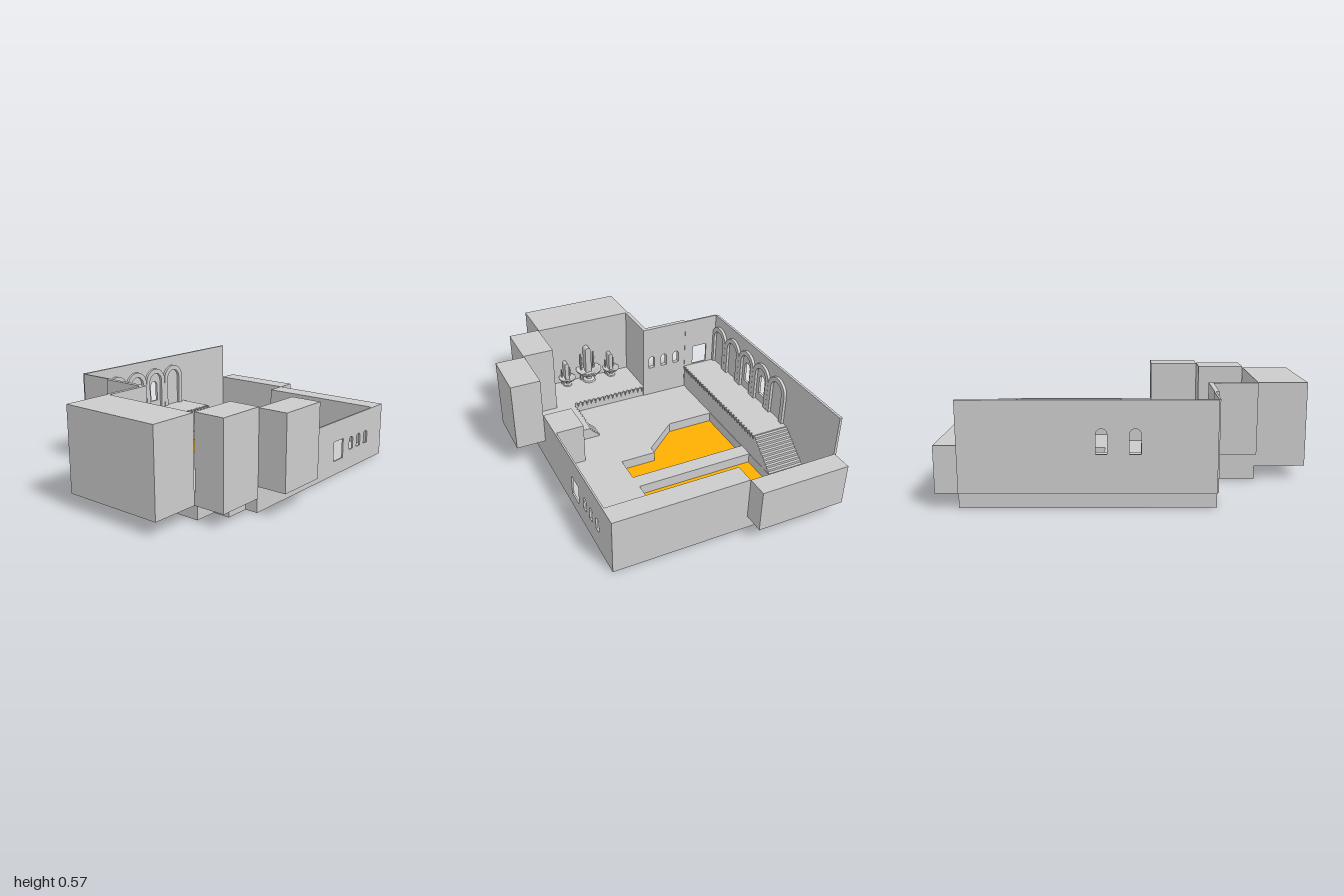
import * as THREE from 'three';

const grey = new THREE.MeshStandardMaterial({ color: 0xcccccc, flatShading: true, side: THREE.DoubleSide });
const gold = new THREE.MeshStandardMaterial({ color: 0xffb000, side: THREE.DoubleSide });

export function createModel() {
  const group = new THREE.Group();

  function add(name, geometry, material = grey) {
    const mesh = new THREE.Mesh(geometry, material);
    mesh.name = name;
    group.add(mesh);
    return mesh;
  }

  // Box given by its limits on each axis
  function block(name, x0, x1, y0, y1, z0, z1) {
    const g = new THREE.BoxGeometry(x1 - x0, y1 - y0, z1 - z0);
    g.translate((x0 + x1) / 2, (y0 + y1) / 2, (z0 + z1) / 2);
    return add(name, g);
  }

  const polygon = (points, Type = THREE.Shape) => new Type(points.map(([x, y]) => new THREE.Vector2(x, y)));
  const rect = (x0, x1, y0, y1, Type) => polygon([[x0, y0], [x1, y0], [x1, y1], [x0, y1]], Type);

  // Round-headed outline, centred on cx
  function roundHead(cx, radius, bottom, top, Type = THREE.Path) {
    const p = new Type();
    p.moveTo(cx - radius, bottom);
    p.lineTo(cx + radius, bottom);
    p.lineTo(cx + radius, top - radius);
    p.absarc(cx, top - radius, radius, 0, Math.PI, false);
    p.closePath();
    return p;
  }

  const extrude = (shape, depth) =>
    new THREE.ExtrudeGeometry(shape, { depth, bevelEnabled: false, curveSegments: 10 });

  // Wall in the x-y plane with openings
  function wallX(name, x0, x1, y0, y1, z0, z1, holes) {
    const s = rect(x0, x1, y0, y1);
    s.holes.push(...holes);
    return add(name, extrude(s, z1 - z0).translate(0, 0, z0));
  }

  // Wall in the z-y plane with openings; the shape's x runs along -z
  function wallZ(name, z0, z1, y0, y1, x0, x1, holes) {
    const s = rect(-z1, -z0, y0, y1);
    s.holes.push(...holes);
    return add(name, extrude(s, x1 - x0).rotateY(Math.PI / 2).translate(x0, 0, 0));
  }

  // Floor slab with two sunken basins
  const pools = [
    [[-0.07, -0.51], [0.32, -0.51], [0.32, 0.21], [0.16, 0.21], [0.16, -0.005], [0.11, -0.005], [-0.07, -0.22]],
    [[0.41, -0.51], [0.64, -0.51], [0.64, 0.21], [0.41, 0.21]],
  ].map(points => points.map(([x, z]) => [x, -z]));
  const floor = rect(-0.44, 0.88, -0.575, 0.735);
  pools.forEach(p => floor.holes.push(polygon(p, THREE.Path)));
  add('floorSlab', extrude(floor, 0.08).rotateX(-Math.PI / 2));
  pools.forEach(p => {
    add('poolBottom', new THREE.ShapeGeometry(polygon(p)).rotateX(-Math.PI / 2).translate(0, 0.02, 0), gold);
  });

  // Side terrace and its base
  const terrace = 0.15, gallery = 0.235;
  block('terraceBase', -0.71, -0.44, 0, 0.08, -0.225, 0.4);
  block('terraceBaseFront', -0.58, -0.44, 0, 0.08, 0.4, 0.5);
  block('sideTerrace', -0.72, -0.445, 0.08, terrace, -0.225, 0.4);
  block('frontTerrace', -0.445, -0.14, 0.08, terrace, 0.285, 0.575);

  // Closed rooms around the court
  block('leftRoom', -1, -0.72, 0.08, 0.565, -0.225, 0.39);
  block('cornerRoom', -0.72, -0.44, 0.08, 0.57, 0.395, 0.58);
  block('frontRoom', -0.44, -0.14, 0.145, 0.565, 0.575, 0.75);
  block('rightRoom', 0.88, 1, 0.08, 0.33, -0.74, -0.21);
  block('thickRightWall', 0.76, 0.88, 0.08, 0.33, -0.21, 0.575);
  block('frontPier', -0.14, 0.06, 0.08, 0.33, 0.4, 0.575);

  // Front wall with a doorway and three windows
  wallX('frontWall', 0.06, 0.76, 0.08, 0.33, 0.565, 0.575, [
    rect(0.31, 0.415, 0.086, 0.207, THREE.Path),
    ...[0.508, 0.596, 0.683].map(x => roundHead(x, 0.021, 0.118, 0.198)),
  ]);

  // Back wall with two round-headed windows
  wallX('backWall', -0.44, 0.88, 0.08, 0.565, -0.75, -0.735,
    [-0.022, 0.15].map(x => roundHead(x, 0.029, 0.285, 0.418)));

  // Side walls beside the gallery
  wallZ('galleryEndWall', -0.735, -0.51, 0.08, 0.565, -0.448, -0.438, [rect(0.57, 0.67, 0.24, 0.37, THREE.Path)]);
  wallZ('windowWall', -0.51, -0.21, 0.08, 0.565, -0.467, -0.44,
    [0.27, 0.357, 0.445].map(s => roundHead(s, 0.02, 0.28, 0.362)));
  block('terraceEndWall', -0.72, -0.467, terrace, 0.565, -0.235, -0.21);

  // Raised gallery with a stair down its right end
  block('gallery', -0.44, 0.44, 0.08, gallery, -0.735, -0.514);
  const steps = 11, tread = 0.19 / steps;
  for (let i = 0; i < steps; i++) {
    const top = gallery - (gallery - 0.08) * (i + 0.5) / steps;
    block('galleryStep', 0.44 + i * tread, 0.44 + (i + 1) * tread, 0.08, top, -0.735, -0.512);
  }

  // Small stair from the terrace to the floor
  for (let i = 0; i < 4; i++) {
    block('terraceStep', -0.225, -0.14, 0.08, 0.136 - i * 0.014, 0.285 - (i + 1) * 0.014, 0.285 - i * 0.014);
  }

  // Blind arcade along the gallery
  for (let i = 0; i < 5; i++) {
    const cx = -0.362 + i * 0.171;
    const frame = new THREE.Shape();
    frame.moveTo(cx - 0.085, gallery);
    frame.lineTo(cx - 0.085, 0.42);
    frame.absarc(cx, 0.42, 0.085, Math.PI, 0, true);
    frame.lineTo(cx + 0.085, gallery);
    frame.lineTo(cx + 0.055, gallery);
    frame.lineTo(cx + 0.055, 0.42);
    frame.absarc(cx, 0.42, 0.055, 0, Math.PI, false);
    frame.lineTo(cx - 0.055, gallery);
    frame.closePath();
    add('arcadeArch', extrude(frame, 0.017).translate(0, 0, -0.735));
  }

  // Pointed trim hanging along the raised edges
  function trim(name, x0, z0, x1, z1, top) {
    const count = Math.round(Math.hypot(x1 - x0, z1 - z0) / 0.03);
    for (let i = 0; i <= count; i++) {
      const t = i / count;
      const tooth = add(name, new THREE.CylinderGeometry(0.012, 0.002, 0.035, 6));
      tooth.position.set(x0 + (x1 - x0) * t, top - 0.0175, z0 + (z1 - z0) * t);
    }
  }
  trim('galleryTrim', -0.43, -0.513, 0.43, -0.513, gallery);
  trim('terraceTrim', -0.442, -0.2, -0.442, 0.28, terrace);
  trim('frontTerraceTrim', -0.42, 0.285, -0.24, 0.285, terrace);

  // Wall fountains: faceted bowl on a foot, with a spout column
  function fountain(z, r, height) {
    const profile = [[0.5, 0], [0.45, 0.12], [0.22, 0.2], [0.25, 0.5], [0.85, 0.75], [1, 1], [0.85, 1], [0.3, 0.72], [0, 0.7]];
    const bowl = add('fountainBowl',
      new THREE.LatheGeometry(profile.map(([a, b]) => new THREE.Vector2(a * r, b * r)), 10));
    bowl.position.set(-0.675, terrace, z);
    const column = roundHead(0, r * 0.22, terrace + r * 0.7, height, THREE.Shape);
    add('fountainSpout', extrude(column, 0.05).rotateY(Math.PI / 2).translate(-0.72, 0, z));
    for (const side of [-1, 1]) {
      const knob = add('fountainFinial', new THREE.CylinderGeometry(r * 0.06, r * 0.12, height - terrace - 0.05, 6));
      knob.position.set(-0.7, (height + terrace - 0.05) / 2, z + side * r * 0.5);
    }
  }
  fountain(0.085, 0.088, 0.39);
  fountain(-0.075, 0.057, 0.31);
  fountain(0.237, 0.057, 0.31);

  return group;
}
